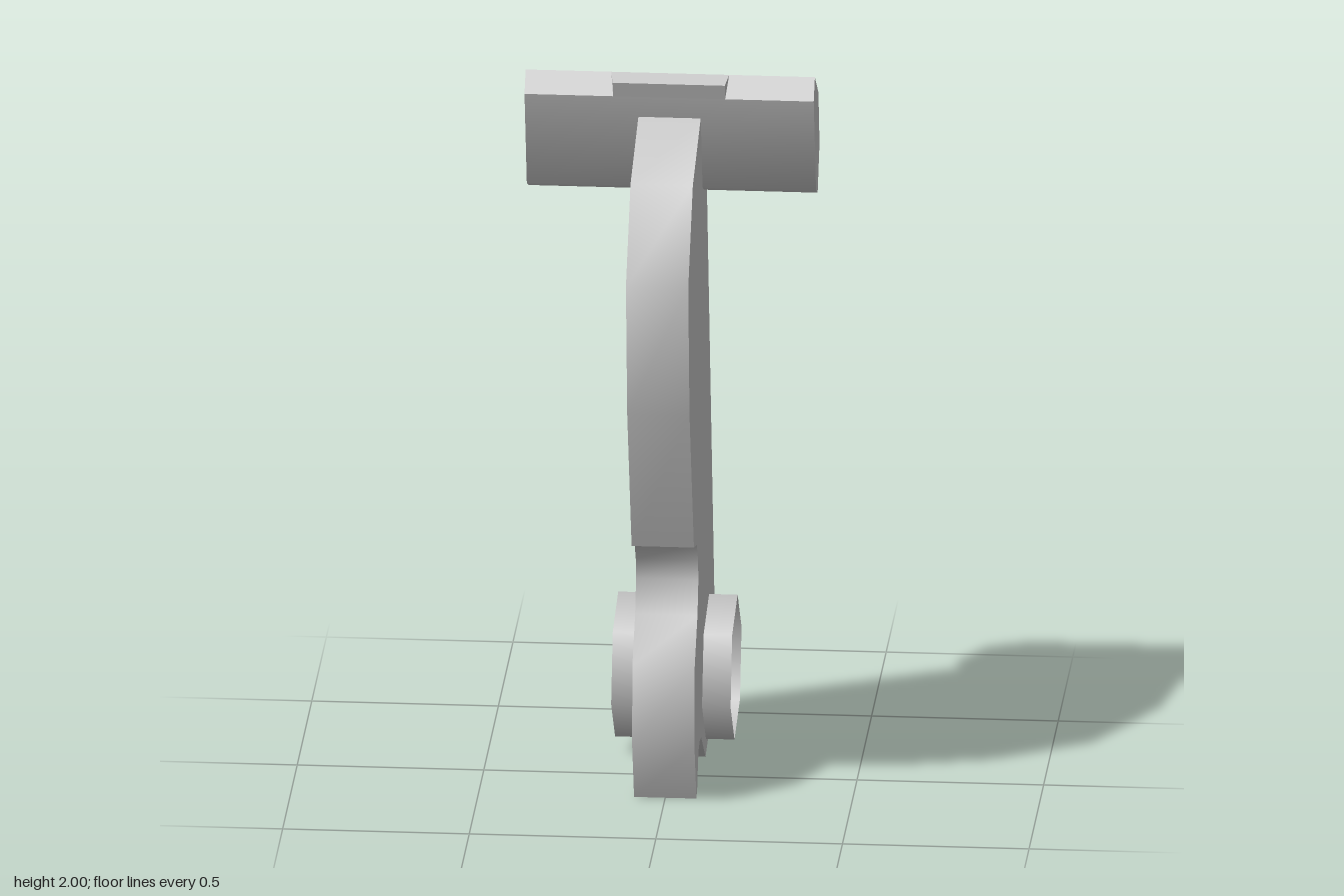
import * as THREE from 'three';
import { toCreasedNormals } from 'three/addons/utils/BufferGeometryUtils.js';

const material = new THREE.MeshStandardMaterial({ color: 0xcccccc });
const openMaterial = new THREE.MeshStandardMaterial({ color: 0xcccccc, side: THREE.DoubleSide });

// Side profiles are [z, y] pairs, extruded along x and centred on x = 0
const toPoints = (profile) => profile.map(([z, y]) => new THREE.Vector2(-z, y));

function extrudeSideways(profile, width, hole) {
  const shape = new THREE.Shape(toPoints(profile));
  if (hole) shape.holes.push(new THREE.Path(toPoints(hole)));
  const geometry = new THREE.ExtrudeGeometry(shape, { depth: width, bevelEnabled: false });
  return geometry.translate(0, 0, -width / 2).rotateY(Math.PI / 2);
}

function addPart(group, name, geometry, mat = material) {
  const mesh = new THREE.Mesh(geometry, mat);
  mesh.name = name;
  group.add(mesh);
}

export function createModel() {
  const group = new THREE.Group();
  group.name = 'lever';
  const crease = THREE.MathUtils.degToRad(50);

  // Hexagonal pivot hole
  const pivot = { z: -0.204, y: 0.24, r: 0.194, start: THREE.MathUtils.degToRad(46) };
  const hole = Array.from({ length: 6 }, (_, i) => {
    const a = pivot.start + (i * Math.PI) / 3;
    return [pivot.z + pivot.r * Math.cos(a), pivot.y + pivot.r * Math.sin(a)];
  });

  // Flat lever plate with a rounded notch in front and a hook at the bottom
  const plate = [
    [0.03, 1.883], [0.3, 1.79], [0.457, 1.555], [0.413, 1.176], [0.262, 0.747],
    [0.16, 0.718], [0.12, 0.66], [0.109, 0.6], [0.14, 0.51], [0.236, 0.397],
    [0.244, 0.175], [0.178, 0.003], [0.148, 0.024], [0.12, 0.09], [0.098, 0.114],
    [0.06, 0.125], [0.013, 0.117], [-0.135, 0.008], [-0.37, 0.06], [-0.452, 0.302],
    [-0.154, 1.754], [-0.1, 1.8],
  ];
  addPart(group, 'leverPlate', toCreasedNormals(extrudeSideways(plate, 0.167, hole), crease));

  // Open sleeve through the pivot hole
  const sleeve = new THREE.CylinderGeometry(pivot.r, pivot.r, 0.32, 6, 1, true, pivot.start);
  sleeve.rotateZ(Math.PI / 2).translate(0, pivot.y, pivot.z);
  addPart(group, 'pivotSleeve', sleeve, openMaterial);

  // Crossbar at the top, rounded behind
  const bar = [
    [-0.034, 1.664], [0.045, 1.945], [0.005, 2], [-0.117, 1.913], [-0.154, 1.754], [-0.09, 1.637],
  ];
  addPart(group, 'crossbar', toCreasedNormals(extrudeSideways(bar, 0.775, null), crease));

  // Lip filling the bar's chamfer, slightly narrower toward the front
  const lip = extrudeSideways([[0.045, 1.945], [0.058, 1.988], [0.005, 2]], 0.316, null);
  const p = lip.attributes.position;
  for (let i = 0; i < p.count; i++) {
    if (p.getZ(i) > 0.03) p.setX(i, p.getX(i) * 0.95);
  }
  addPart(group, 'crossbarLip', toCreasedNormals(lip, crease));

  return group;
}
